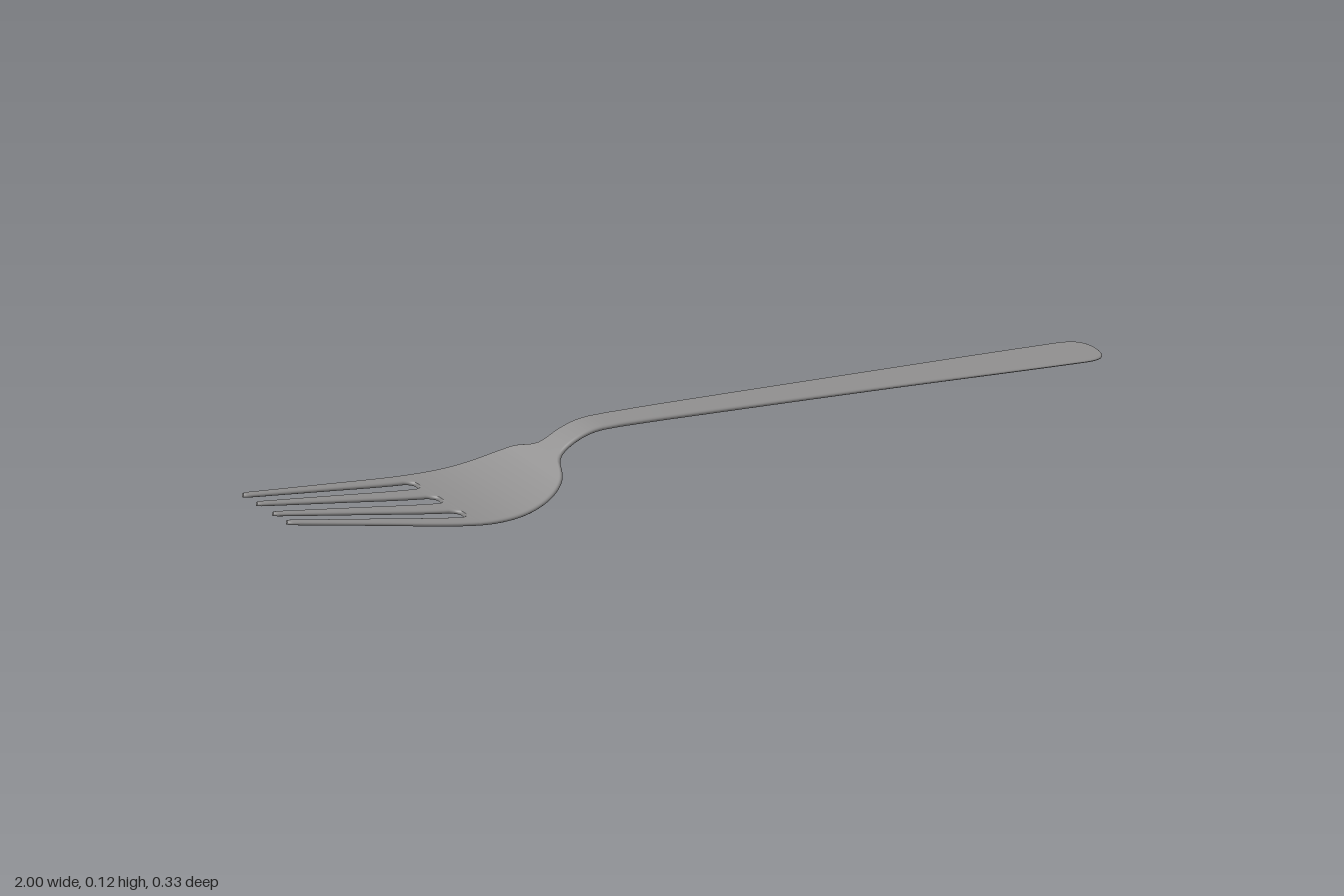
import * as THREE from 'three';

const EDGE = 0.008, ROOT = -0.575, ARC = 6;

// Smooth curve through [x, value] pairs, read by x
function profile(pts) {
  const slope = pts.map((p, i) => {
    const a = pts[Math.max(i - 1, 0)], b = pts[Math.min(i + 1, pts.length - 1)];
    return (b[1] - a[1]) / (b[0] - a[0]);
  });
  return x => {
    let i = 0;
    while (i < pts.length - 2 && x > pts[i + 1][0]) i++;
    const [x0, v0] = pts[i], [x1, v1] = pts[i + 1], h = x1 - x0, t = (x - x0) / h;
    const t2 = t * t, t3 = t2 * t;
    return (2 * t3 - 3 * t2 + 1) * v0 + (t3 - 2 * t2 + t) * h * slope[i]
      + (3 * t2 - 2 * t3) * v1 + (t3 - t2) * h * slope[i + 1];
  };
}

// Height of the fork's mid surface along its length
const height = profile([[-1, 0.066], [-0.8, 0.038], [-0.62, 0.013], [-0.54, 0.006], [-0.47, 0.008],
  [-0.41, 0.02], [-0.36, 0.041], [-0.32, 0.07], [-0.28, 0.095], [-0.24, 0.11], [-0.2, 0.115],
  [-0.12, 0.1135], [0, 0.109], [0.5, 0.087], [1, 0.063]]);

// Metal thickness, thinning towards the handle end
const thickness = profile([[-1, 0.009], [-0.6, 0.01], [-0.2, 0.011], [0.5, 0.009], [1, 0.006]]);

// Half width of head and handle
const halfWidth = profile([[-1, 0.105], [-0.8, 0.134], [-0.65, 0.156], [-0.575, 0.165], [-0.53, 0.167],
  [-0.47, 0.163], [-0.42, 0.153], [-0.38, 0.138], [-0.35, 0.116], [-0.335, 0.092], [-0.325, 0.065],
  [-0.312, 0.047], [-0.29, 0.04], [-0.2, 0.038], [0, 0.042], [0.5, 0.053], [0.8, 0.062], [1, 0.066]]);

// Round-edged strip following the mid surface, between two z edges
function strip(xs, edges) {
  const pos = [], idx = [], n = 2 * (ARC + 1);
  xs.forEach(x => {
    const [lo, hi] = edges(x), r = Math.min(EDGE, (hi - lo) / 2);
    const e = 0.002, a = Math.max(x - e, -1), b = Math.min(x + e, 1);
    const ang = Math.atan2(height(b) - height(a), b - a);
    for (let j = 0; j < n; j++) {
      const far = j > ARC;
      const t = -Math.PI / 2 + Math.PI * (far ? j - 1 : j) / ARC;
      const off = thickness(x) / 2 * Math.sin(t);
      pos.push(x - off * Math.sin(ang), height(x) + off * Math.cos(ang),
        (far ? lo + r : hi - r) + r * Math.cos(t));
    }
  });
  const last = (xs.length - 1) * n;
  for (let i = 0; i < xs.length - 1; i++) {
    for (let j = 0; j < n; j++) {
      const k = (j + 1) % n, p = i * n, q = p + n;
      idx.push(p + j, q + j, q + k, p + j, q + k, p + k);
    }
  }
  // end caps
  const ends = pos.slice(0, n * 3).concat(pos.slice(last * 3));
  const base = pos.length / 3;
  pos.push(...ends);
  for (let j = 1; j < n - 1; j++) {
    idx.push(base, base + j, base + j + 1);
    idx.push(base + n, base + n + j + 1, base + n + j);
  }
  const geo = new THREE.BufferGeometry();
  geo.setAttribute('position', new THREE.Float32BufferAttribute(pos, 3));
  geo.setIndex(idx);
  geo.computeVertexNormals();
  return geo;
}

const range = (a, b, n) => Array.from({ length: n }, (_, i) => a + (b - a) * i / n);

export function createModel() {
  const group = new THREE.Group();
  const metal = new THREE.MeshStandardMaterial({ color: 0x919090 });
  const add = (name, geo) => {
    const mesh = new THREE.Mesh(geo, metal);
    mesh.name = name;
    group.add(mesh);
  };

  // Head, neck and handle, with a rounded handle end
  const END = 0.07;
  const bodyXs = [...range(ROOT, -0.2, 60), ...range(-0.2, 1 - END, 30)];
  for (let i = 0; i <= 16; i++) bodyXs.push(1 - END + END * Math.sin(i / 16 * Math.PI / 2));
  add('headAndHandle', strip(bodyXs, x => {
    const u = Math.max(0, (x - 1 + END) / END);
    const w = halfWidth(x) * Math.max(0.3, Math.cbrt(Math.max(0, 1 - u ** 3)));
    return [-w, w];
  }));

  // Slot edges taper linearly from root to tip and close in a half round at the root
  const SLOT_R = 0.023, TIP = 0.012;
  const slotSide = (x, rootMid, tipMid, rootHalf, tipHalf, side) => {
    const t = (ROOT - x) / (1 + ROOT), d = Math.min(1, (ROOT - x) / SLOT_R);
    const half = rootHalf + (tipHalf - rootHalf) * t;
    return rootMid + (tipMid - rootMid) * t + side * half * Math.sqrt(Math.max(0, 1 - (1 - d) ** 2));
  };
  const middleSlot = x => slotSide(x, 0, 0, 0.024, 0.025, 1);
  const outerSlot = (x, side) => slotSide(x, 0.1, 0.064, 0.023, 0.02, side);

  const tineXs = [];
  for (let i = 0; i < 8; i++) tineXs.push(-1 + TIP * (1 - Math.cos(i / 8 * Math.PI / 2)));
  tineXs.push(...range(-1 + TIP, ROOT - SLOT_R, 28));
  for (let i = 0; i <= 12; i++) tineXs.push(ROOT - SLOT_R + SLOT_R * Math.sin(i / 12 * Math.PI / 2));

  // Four tines, mirrored left and right, with rounded tips
  const tines = {
    InnerTine: x => [middleSlot(x), outerSlot(x, -1)],
    OuterTine: x => [outerSlot(x, 1), halfWidth(x)],
  };
  for (const [name, edges] of Object.entries(tines)) {
    for (const side of [1, -1]) {
      add((side > 0 ? 'front' : 'back') + name, strip(tineXs, x => {
        const [a, b] = edges(x), u = Math.max(0, 1 - (x + 1) / TIP);
        const mid = (a + b) / 2, half = (b - a) / 2 * Math.max(0.3, Math.sqrt(1 - u * u));
        return [side * mid - half, side * mid + half];
      }));
    }
  }
  return group;
}
